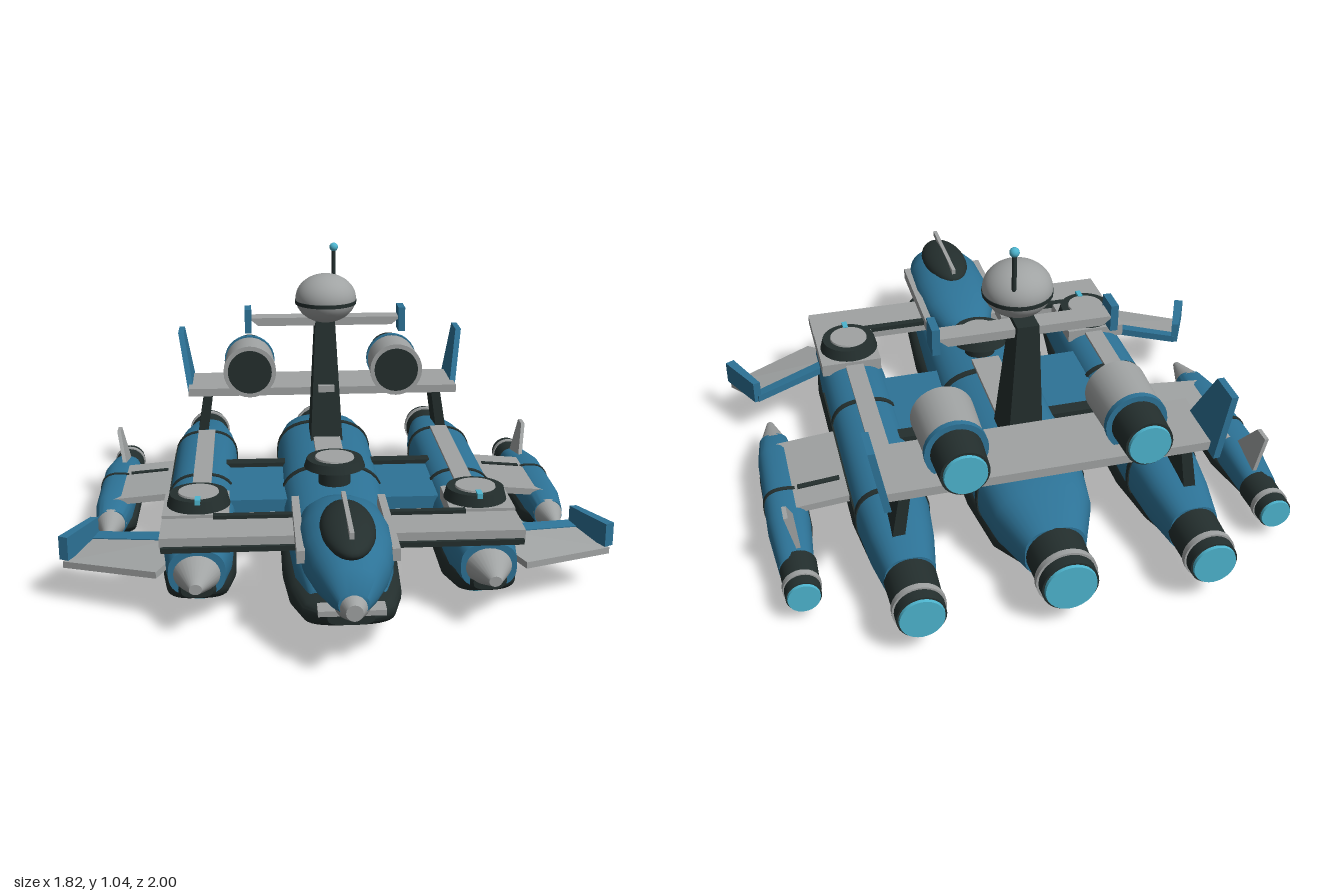
import * as THREE from 'three';
import { toCreasedNormals } from 'three/addons/utils/BufferGeometryUtils.js';
import { ConvexGeometry } from 'three/addons/geometries/ConvexGeometry.js';

const paint = (name, color) => {
  const m = new THREE.MeshStandardMaterial({ color });
  m.name = name;
  return m;
};

export function createModel() {
  const root = new THREE.Group();
  root.name = 'spaceship';
  const blue = paint('blue', 0x2d7397), dark = paint('charcoal', 0x242f2e);
  const grey = paint('grey', 0xa0a3a3), cyan = paint('cyan', 0x4db4ce);

  const add = (name, geo, mat, x = 0, y = 0, z = 0) => {
    const m = new THREE.Mesh(geo, mat);
    m.name = name;
    m.position.set(x, y, z);
    root.add(m);
    return m;
  };
  // box from its limits
  const box = (name, mat, x0, x1, y0, y1, z0, z1) =>
    add(name, new THREE.BoxGeometry(Math.abs(x1 - x0), y1 - y0, Math.abs(z1 - z0)), mat, (x0 + x1) / 2, (y0 + y1) / 2, (z0 + z1) / 2);
  // slab between two matching outlines, each a list of [x, y, z]
  const solid = (name, mat, s, a, b) =>
    add(name, new ConvexGeometry([...a, ...b].map(p => new THREE.Vector3(p[0] * s, p[1], p[2]))), mat);
  // upright cylinder
  const disc = (name, mat, r0, r1, y0, y1, x, z) =>
    add(name, new THREE.CylinderGeometry(r1, r0, y1 - y0, 28), mat, x, (y0 + y1) / 2, z);
  // cylinder along z, rBack at zBack and rFront at zFront
  const barrel = (name, mat, rBack, rFront, zBack, zFront, x, y) =>
    add(name, new THREE.CylinderGeometry(rFront, rBack, zFront - zBack, 28).rotateX(Math.PI / 2), mat, x, y, (zBack + zFront) / 2);
  // superellipse loft; sections run front to back as [z, halfWidth, yLow, yHigh]
  const loft = (name, mat, x, secs, n = 2.6) => {
    const N = 32, pos = [], idx = [];
    const pw = v => Math.sign(v) * Math.abs(v) ** (2 / n);
    secs.forEach(([z, w, lo, hi]) => {
      for (let i = 0; i < N; i++) {
        const t = i / N * Math.PI * 2;
        pos.push(w * pw(Math.cos(t)), (lo + hi) / 2 + (hi - lo) / 2 * pw(Math.sin(t)), z);
      }
    });
    for (let k = 0; k < secs.length - 1; k++) for (let i = 0; i < N; i++) {
      const a = k * N + i, b = k * N + (i + 1) % N;
      idx.push(a, a + N, b, b, a + N, b + N);
    }
    const end = (secs.length - 1) * N;
    for (let i = 1; i < N - 1; i++) idx.push(0, i, i + 1, end, end + i + 1, end + i);
    const g = new THREE.BufferGeometry();
    g.setAttribute('position', new THREE.Float32BufferAttribute(pos, 3));
    g.setIndex(idx);
    return add(name, toCreasedNormals(g, 0.7), mat, x);
  };
  const engine = (name, x, y, zBack, zFront, r) => {
    barrel(name, dark, r * 0.93, r, zBack, zFront, x, y);
    barrel(name + 'Ring', grey, r * 1.02, r * 1.02, zBack + 0.035, zBack + 0.055, x, y);
    barrel(name + 'Glow', cyan, r * 0.84, r * 0.88, zBack - 0.01, zBack + 0.01, x, y);
  };
  const foot = (x, z, r) => {
    disc('footPad', dark, r * 1.05, r * 1.15, 0.012, 0.06, x, z);
    disc('footGlow', cyan, r * 0.9, r, 0, 0.013, x, z);
  };
  const turret = (x, z, y0, y1) => {
    disc('turretBase', dark, 0.055, 0.055, y0 - 0.06, y0, x, z);
    disc('turretRing', dark, 0.105, 0.095, y0, y1, x, z);
    disc('turretTop', grey, 0.068, 0.066, y1, y1 + 0.006, x, z);
  };

  // central body
  loft('centralBody', blue, 0, [[0.75, 0.12, 0.1, 0.2], [0.6, 0.155, 0.08, 0.27], [0.3, 0.17, 0.06, 0.3], [0, 0.18, 0.05, 0.315],
    [-0.55, 0.18, 0.05, 0.315], [-0.68, 0.16, 0.06, 0.3], [-0.82, 0.1, 0.07, 0.255]]);
  loft('centralHull', dark, 0, [[0.88, 0.07, 0.13, 0.175], [0.8, 0.14, 0.09, 0.18], [0.65, 0.175, 0.06, 0.18], [0.42, 0.19, 0.03, 0.17],
    [-0.42, 0.188, 0.025, 0.16], [-0.65, 0.16, 0.045, 0.15], [-0.8, 0.09, 0.09, 0.14]], 3);
  for (const z of [0, -0.53]) loft('centralBand', dark, 0, [[z + 0.012, 0.184, 0.045, 0.32], [z - 0.012, 0.184, 0.045, 0.32]]);
  box('spinePanel', grey, -0.05, 0.05, 0.3, 0.327, -0.5, 0.06);
  engine('centralEngine', 0, 0.16, -0.975, -0.79, 0.097);
  foot(0, 0.49, 0.065);
  foot(0, -0.38, 0.078);
  turret(0, 0.14, 0.365, 0.394);

  // nose and cockpit
  loft('nose', blue, 0, [[0.965, 0.045, 0.2, 0.27], [0.92, 0.08, 0.19, 0.33], [0.85, 0.115, 0.185, 0.368], [0.75, 0.14, 0.18, 0.388],
    [0.6, 0.145, 0.18, 0.388], [0.45, 0.13, 0.2, 0.37], [0.35, 0.09, 0.22, 0.338], [0.28, 0.03, 0.25, 0.3]], 2.3);
  barrel('noseTip', grey, 0.055, 0.025, 0.93, 1, 0, 0.225);
  box('chinPlate', grey, -0.1, 0.1, 0.178, 0.195, 0.86, 0.92);
  add('canopy', new THREE.SphereGeometry(1, 32, 20).scale(0.084, 0.05, 0.185), dark, 0, 0.37, 0.725).rotation.x = 0.06;
  box('canopyFrame', grey, -0.007, 0.007, 0.405, 0.424, 0.55, 0.89);

  // sensor tower
  solid('tower', dark, 1, [[-0.06, 0.3, -0.29], [0.06, 0.3, -0.29], [0.06, 0.3, -0.47], [-0.06, 0.3, -0.47]],
    [[-0.035, 0.78, -0.385], [0.035, 0.78, -0.385], [0.035, 0.78, -0.48], [-0.035, 0.78, -0.48]]);
  box('towerLamp', grey, -0.03, 0.03, 0.495, 0.52, -0.36, -0.315);
  solid('crossbar', grey, 1, [[-0.25, 0.735, -0.39], [0.25, 0.735, -0.39], [0.25, 0.735, -0.46], [-0.25, 0.735, -0.46]],
    [[-0.285, 0.765, -0.39], [0.285, 0.765, -0.39], [0.285, 0.765, -0.46], [-0.285, 0.765, -0.46]]);
  add('sensorDome', new THREE.SphereGeometry(1, 32, 24).scale(0.112, 0.09, 0.112), grey, 0, 0.848, -0.35);
  disc('domeBand', dark, 0.113, 0.114, 0.828, 0.842, 0, -0.35);
  disc('antenna', dark, 0.008, 0.007, 0.88, 1.015, 0.035, -0.435);
  add('antennaTip', new THREE.SphereGeometry(0.016, 16, 12), cyan, 0.035, 1.022, -0.435);

  // tail bridge
  box('tailWing', grey, -0.525, 0.525, 0.425, 0.455, -0.77, -0.53);

  for (const s of [1, -1]) {
    const x = s * 0.46, xo = s * 0.78, xn = s * 0.285;
    box('cheekPanel', grey, s * 0.13, s * 0.155, 0.285, 0.325, 0.32, 0.78);
    box('crossbarPlate', blue, s * 0.275, s * 0.3, 0.71, 0.8, -0.46, -0.38);

    // side bodies
    loft('sideBody', blue, x, [[0.585, 0.09, 0.1, 0.25], [0.45, 0.11, 0.07, 0.27], [0.2, 0.118, 0.06, 0.28], [-0.55, 0.118, 0.06, 0.28],
      [-0.68, 0.105, 0.06, 0.265], [-0.82, 0.08, 0.075, 0.24]]);
    loft('sideHull', dark, x, [[0.6, 0.05, 0.1, 0.15], [0.52, 0.1, 0.06, 0.16], [0.36, 0.12, 0.025, 0.15], [-0.42, 0.118, 0.022, 0.15],
      [-0.64, 0.095, 0.05, 0.14], [-0.78, 0.06, 0.08, 0.13]], 3);
    for (const z of [-0.03, -0.53]) loft('sideBand', dark, x, [[z + 0.01, 0.122, 0.056, 0.284], [z - 0.01, 0.122, 0.056, 0.284]]);
    box('sideTopPanel', grey, s * 0.425, s * 0.49, 0.26, 0.288, -0.53, 0.2);
    box('sideRail', dark, s * 0.565, s * 0.582, 0.17, 0.2, -0.52, 0.17);
    barrel('sideNoseCone', grey, 0.09, 0.02, 0.55, 0.7, x, 0.172).scale.y = 0.85;
    engine('sideEngine', x, 0.155, -0.985, -0.8, 0.082);
    foot(x, 0.34, 0.063);
    foot(x, -0.38, 0.063);
    box('turretMount', grey, s * 0.36, s * 0.575, 0.255, 0.3, 0.19, 0.41);
    turret(x, 0.3, 0.3, 0.338);
    box('turretLight', cyan, x - 0.009, x + 0.009, 0.33, 0.347, 0.36, 0.4);

    // links between the bodies
    box('foreWing', grey, s * 0.1, s * 0.575, 0.255, 0.29, 0.41, 0.575);
    box('foreWingEdge', dark, s * 0.1, s * 0.57, 0.245, 0.262, 0.56, 0.588);
    box('foreWingSlat', dark, s * 0.15, s * 0.41, 0.285, 0.302, 0.4, 0.425);
    box('linkPlate', blue, s * 0.15, s * 0.4, 0.2, 0.245, -0.21, 0.14);
    box('linkBeam', dark, s * 0.15, s * 0.38, 0.19, 0.26, -0.25, -0.2);
    add('fuelTank', new THREE.CapsuleGeometry(0.055, 0.28, 8, 20).rotateX(Math.PI / 2), grey, s * 0.31, 0.125, -0.052);

    // front fins
    const fin = [[0.59, 0.145, 0.55], [0.46, 0.195, 0.37], [0.81, 0.155, 0.24], [0.9, 0.125, 0.4]];
    solid('frontFin', grey, s, fin, fin.map(p => [p[0], p[1] + 0.022, p[2]]));
    const flap = [[0.5, 0.185, 0.4], [0.46, 0.195, 0.36], [0.81, 0.156, 0.233], [0.83, 0.148, 0.272]];
    solid('frontFinFlap', blue, s, flap, flap.map(p => [p[0], p[1] + 0.026, p[2]]));
    const tip = [[0.91, 0.155, 0.4], [0.88, 0.155, 0.415], [0.8, 0.155, 0.24], [0.825, 0.155, 0.235]];
    solid('frontFinTip', blue, s, tip, tip.map(p => [p[0], 0.235, p[2]]));

    // outer pods
    solid('podWing', grey, s, [[0.55, 0.175, -0.07], [0.8, 0.155, -0.07], [0.8, 0.155, -0.43], [0.55, 0.175, -0.43]],
      [[0.55, 0.2, -0.07], [0.8, 0.178, -0.07], [0.8, 0.178, -0.43], [0.55, 0.2, -0.43]]);
    solid('podWingStripe', dark, s, [[0.6, 0.19, -0.32], [0.74, 0.178, -0.32], [0.74, 0.178, -0.34], [0.6, 0.19, -0.34]],
      [[0.6, 0.2, -0.32], [0.74, 0.188, -0.32], [0.74, 0.188, -0.34], [0.6, 0.2, -0.34]]);
    loft('outerPod', blue, s * 0.785, [[0.01, 0.05, 0.07, 0.165], [-0.1, 0.065, 0.05, 0.185], [-0.45, 0.07, 0.045, 0.185], [-0.63, 0.055, 0.045, 0.155]]);
    loft('podHull', dark, xo, [[0, 0.04, 0.08, 0.11], [-0.12, 0.072, 0.03, 0.11], [-0.4, 0.072, 0.03, 0.1], [-0.58, 0.045, 0.05, 0.09]], 3);
    loft('podBand', dark, s * 0.785, [[-0.32, 0.072, 0.042, 0.188], [-0.335, 0.072, 0.042, 0.188]]);
    barrel('podNoseCone', grey, 0.052, 0.012, 0, 0.135, s * 0.785, 0.117);
    engine('podEngine', xo, 0.1, -0.755, -0.61, 0.06);
    foot(xo, -0.22, 0.045);
    const pf = [[0.765, 0.16, -0.44], [0.765, 0.16, -0.6], [0.795, 0.285, -0.6], [0.795, 0.285, -0.54]];
    solid('podFin', grey, s, pf, pf.map(p => [p[0] + 0.014, p[1], p[2]]));

    // tail supports, fins and upper engines
    solid('tailSupport', dark, s, [[0.46, 0.22, -0.56], [0.5, 0.22, -0.56], [0.5, 0.22, -0.73], [0.46, 0.22, -0.73]],
      [[0.43, 0.43, -0.56], [0.465, 0.43, -0.56], [0.465, 0.43, -0.73], [0.43, 0.43, -0.73]]);
    const tf = [[0.505, 0.42, -0.58], [0.505, 0.42, -0.81], [0.545, 0.64, -0.81], [0.545, 0.64, -0.7]];
    solid('tailFin', blue, s, tf, tf.map(p => [p[0] + 0.022, p[1], p[2]]));
    barrel('upperEngineCowl', grey, 0.095, 0.102, -0.69, -0.51, xn, 0.525);
    barrel('upperEngineIntake', dark, 0.085, 0.085, -0.52, -0.506, xn, 0.525);
    barrel('upperEngineBand', blue, 0.1, 0.1, -0.71, -0.69, xn, 0.525);
    barrel('upperEngineExhaust', dark, 0.076, 0.082, -0.82, -0.7, xn, 0.525);
    barrel('upperEngineGlow', cyan, 0.066, 0.07, -0.83, -0.81, xn, 0.525);
  }
  return root;
}
